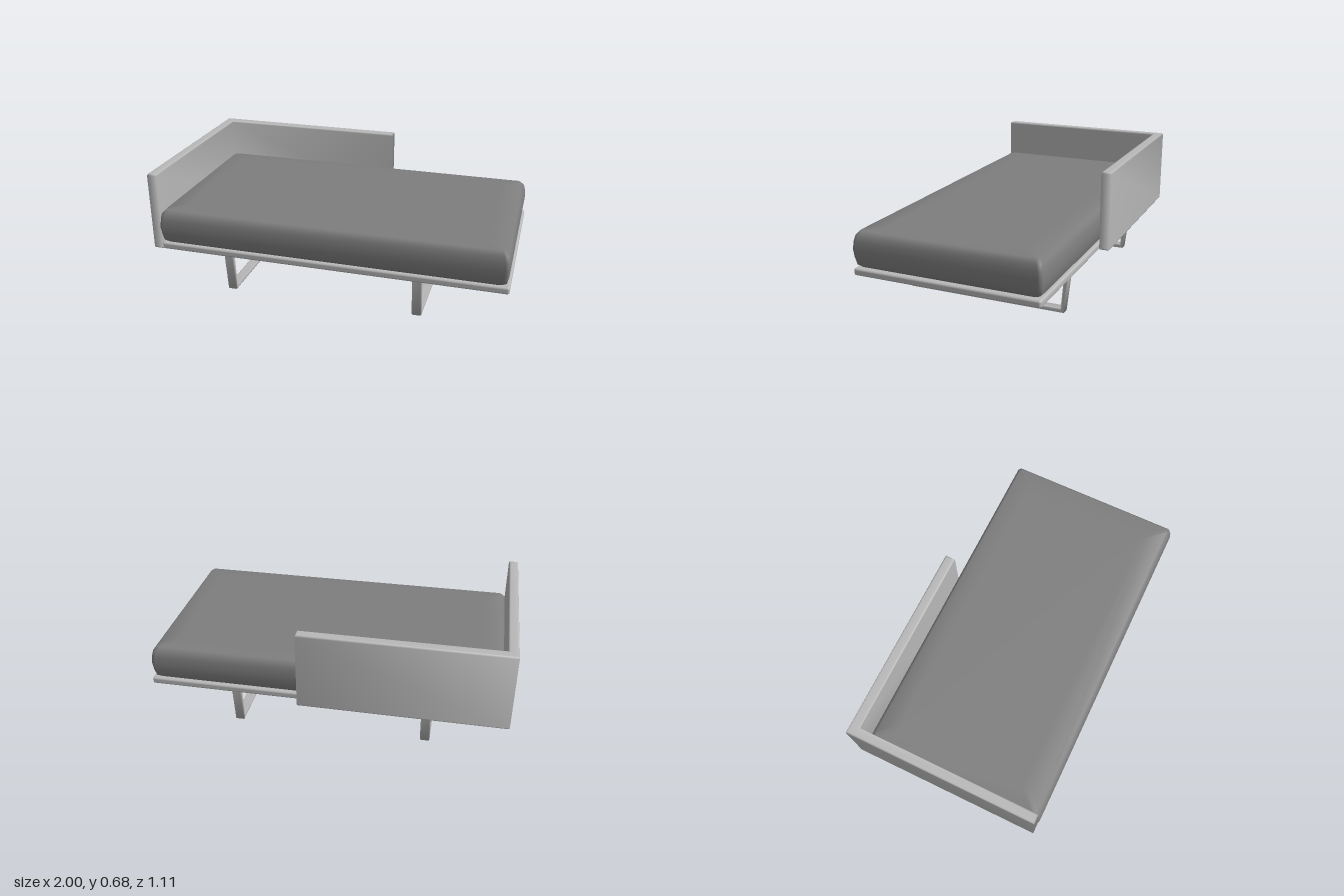
import * as THREE from 'three';
import { mergeVertices } from 'three/addons/utils/BufferGeometryUtils.js';
import { RoundedBoxGeometry } from 'three/addons/geometries/RoundedBoxGeometry.js';

const frameMaterial = new THREE.MeshStandardMaterial({ color: 0xb8b8b8 });
const fabricMaterial = new THREE.MeshStandardMaterial({ color: 0x7e7e7e });

function addMesh(parent, name, geometry, material, x = 0, y = 0, z = 0) {
  const mesh = new THREE.Mesh(geometry, material);
  mesh.name = name;
  mesh.position.set(x, y, z);
  parent.add(mesh);
}

// Extrudes an outline to an exact overall depth, shaded smoothly around its edges
function softExtrude(points, depth, bevel) {
  const shape = new THREE.Shape(points.map(([x, y]) => new THREE.Vector2(x, y)));
  const extruded = new THREE.ExtrudeGeometry(shape, {
    depth: depth - 2 * bevel, bevelEnabled: true, bevelThickness: bevel,
    bevelSize: bevel, bevelOffset: -bevel, bevelSegments: 2,
  });
  extruded.translate(0, 0, bevel);
  extruded.deleteAttribute('normal');
  extruded.deleteAttribute('uv');
  const geometry = mergeVertices(extruded, 1e-4);
  geometry.computeVertexNormals();
  return geometry;
}

// Mattress: rounded rectangles stacked along a bulging side profile
function mattressGeometry(width, depth, profile) {
  const positions = [], indices = [], steps = 5;
  const count = 4 * (steps + 1);
  for (const [inset, y] of profile) {
    const r = 0.022, hx = width / 2 - inset - r, hz = depth / 2 - inset - r;
    for (let c = 0; c < 4; c++) {
      const sx = c === 0 || c === 3 ? 1 : -1, sz = c < 2 ? 1 : -1;
      for (let i = 0; i <= steps; i++) {
        const a = (c + i / steps) * Math.PI / 2;
        positions.push(sx * hx + r * Math.cos(a), y, sz * hz + r * Math.sin(a));
      }
    }
  }
  for (let k = 0; k < profile.length - 1; k++) {
    for (let i = 0; i < count; i++) {
      const a = k * count + i, b = k * count + (i + 1) % count;
      indices.push(a, a + count, b, b, a + count, b + count);
    }
  }
  // Flat caps
  const top = (profile.length - 1) * count;
  for (let i = 1; i < count - 1; i++) {
    indices.push(0, i, i + 1, top, top + i + 1, top + i);
  }
  const geometry = new THREE.BufferGeometry();
  geometry.setAttribute('position', new THREE.Float32BufferAttribute(positions, 3));
  geometry.setIndex(indices);
  geometry.computeVertexNormals();
  return geometry;
}

export function createModel() {
  const group = new THREE.Group();

  // Platform under the mattress
  addMesh(group, 'platform', new RoundedBoxGeometry(1.95, 0.04, 1.04, 3, 0.012), frameMaterial, 0.025, 0.248, 0.025);

  // L-shaped upholstered back and side panel
  const panel = softExtrude([
    [-1, -0.545], [-0.945, -0.545], [-0.945, 0.495],
    [0.145, 0.495], [0.145, 0.553], [-1, 0.553],
  ], 0.452, 0.01);
  panel.rotateX(-Math.PI / 2);
  addMesh(group, 'backAndSidePanel', panel, frameMaterial, 0, 0.228, 0);

  // Mattress
  addMesh(group, 'mattress', mattressGeometry(1.952, 1.052, [
    [0.13, 0.266], [0.03, 0.268], [0.012, 0.284], [0.004, 0.325], [0, 0.367],
    [0.004, 0.408], [0.012, 0.441], [0.032, 0.464], [0.13, 0.467],
  ]), fabricMaterial, 0.019, 0, 0.027);

  // Sled legs: splayed U-shaped bars running front to back
  for (const [name, x] of [['rightLeg', -0.556], ['leftLeg', 0.518]]) {
    const leg = softExtrude([
      [-0.52, 0.235], [-0.492, 0], [0.437, 0], [0.465, 0.235],
      [0.438, 0.235], [0.418, 0.024], [-0.474, 0.024], [-0.494, 0.235],
    ], 0.054, 0.006);
    leg.translate(0, 0, -0.027);
    leg.rotateY(Math.PI / 2);
    addMesh(group, name, leg, frameMaterial, x, 0, 0);
  }
  return group;
}
